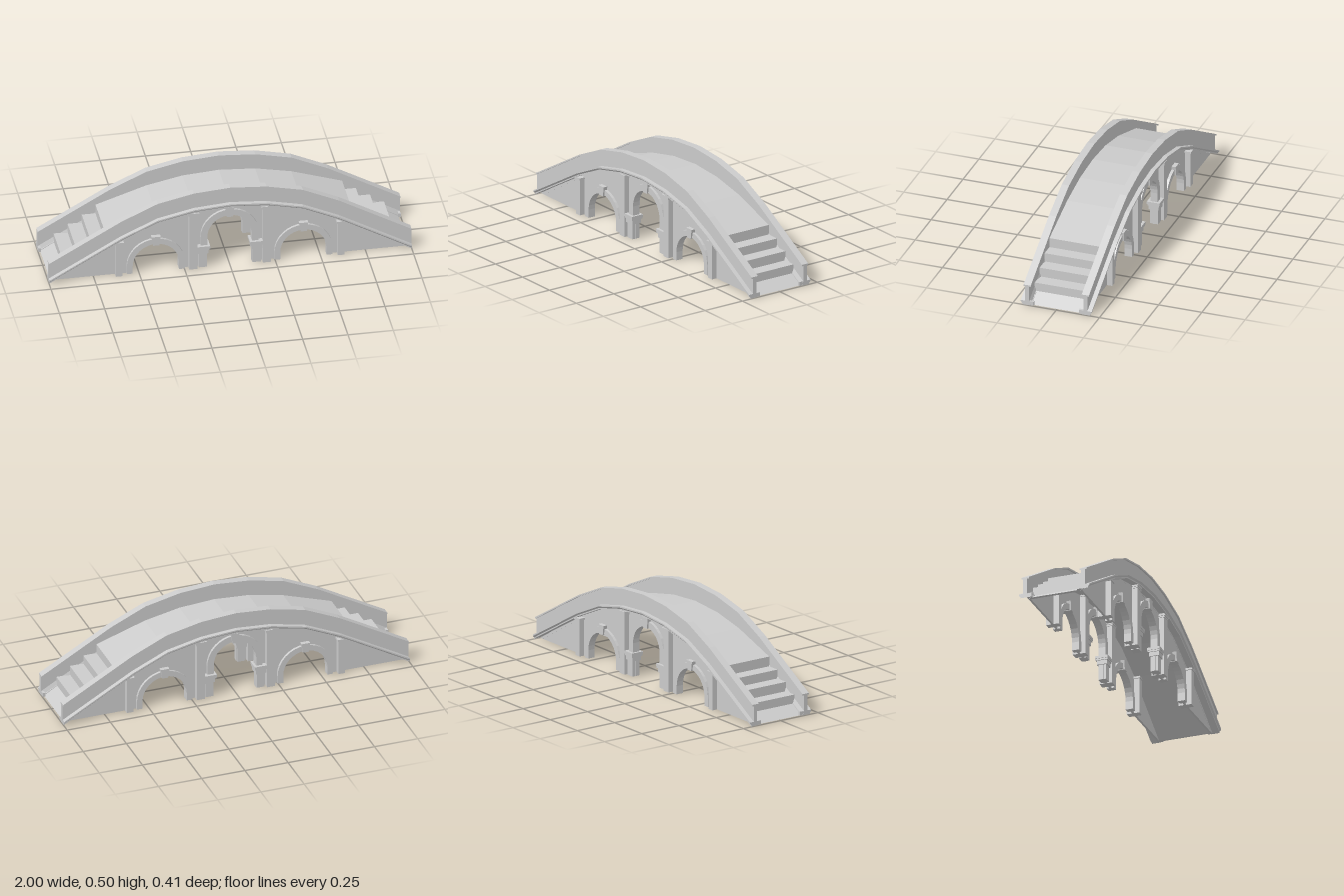
import * as THREE from 'three';

const MID = 0.168; // z of each parapet's centre plane
const WALL = 0.151; // z of each arcade wall's centre plane
const half = [[0, 0.402], [0.2, 0.387], [0.4, 0.343], [0.6, 0.252], [1, 0.026]];
const mirrorX = (pts) => [...pts.slice(1).reverse().map(([x, y]) => [-x, y]), ...pts];
const curve = mirrorX(half); // arched line of the bridge, left to right

const material = new THREE.MeshStandardMaterial({ color: 0xcccccc, flatShading: true });

function add(parent, name, geometry) {
  const mesh = new THREE.Mesh(geometry, material);
  mesh.name = name;
  parent.add(mesh);
  return mesh;
}

// Sweep a convex section [dz, dy] (counter-clockwise) along the arched line
function sweep(section) {
  const n = section.length, pos = [], index = [];
  for (const [x, y] of curve) for (const [dz, dy] of section) pos.push(x, y + dy, dz);
  const last = (curve.length - 1) * n;
  for (let i = 0; i < last; i += n) {
    for (let j = 0; j < n; j++) {
      const k = (j + 1) % n;
      index.push(i + j, i + n + j, i + n + k, i + j, i + n + k, i + k);
    }
  }
  for (let j = 1; j < n - 1; j++) index.push(0, j, j + 1, last, last + j + 1, last + j);
  const g = new THREE.BufferGeometry();
  g.setAttribute('position', new THREE.Float32BufferAttribute(pos, 3));
  g.setIndex(index);
  const flat = g.toNonIndexed();
  flat.computeVertexNormals();
  return flat;
}

// Extrude a shape symmetrically about z = 0
function slab(shape, depth) {
  const g = new THREE.ExtrudeGeometry(shape, { depth, bevelEnabled: false });
  return g.translate(0, 0, -depth / 2);
}

const shapeOf = (pts) => new THREE.Shape(pts.map(([x, y]) => new THREE.Vector2(x, y)));

// Points of an arch outline from left foot to right foot
function archPoints(cx, cy, r, foot) {
  const pts = [[cx - r, foot]];
  for (let i = 0; i <= 16; i++) {
    const a = Math.PI * (1 - i / 16);
    pts.push([cx + r * Math.cos(a), cy + r * Math.sin(a)]);
  }
  pts.push([cx + r, foot]);
  return pts;
}

function block(parent, name, x, y0, y1, width, depth) {
  const mesh = add(parent, name, new THREE.BoxGeometry(width, y1 - y0, depth));
  mesh.position.set(x, (y0 + y1) / 2, 0);
  return mesh;
}

const arches = [
  { x: -0.407, y: 0.047, r: 0.128, R: 0.16, foot: 0 },
  { x: 0, y: 0.19, r: 0.123, R: 0.16, foot: 0.13 },
  { x: 0.407, y: 0.047, r: 0.128, R: 0.16, foot: 0 },
];

// Arcade under the walkway edge
function createArcade() {
  const arcade = new THREE.Group();
  arcade.name = 'arcade';

  // Thin wall with three arched openings
  const outline = [[-0.985, 0]];
  for (const a of arches) outline.push(...archPoints(a.x, a.y, a.r, 0));
  outline.push([0.985, 0]);
  for (const [x, y] of [...curve].reverse()) outline.push([x * (Math.abs(x) === 1 ? 0.985 : 1), y - 0.018]);
  add(arcade, 'spandrelWall', slab(shapeOf(outline), 0.012));

  // Raised arch rings and keystones
  for (const a of arches) {
    const ring = [...archPoints(a.x, a.y, a.R, a.foot), ...archPoints(a.x, a.y, a.r, a.foot).reverse()];
    add(arcade, 'archRing', slab(shapeOf(ring), 0.042));
    const top = a.y + a.R + 0.017, low = a.y + a.r - 0.005;
    const key = [[a.x - 0.017, low], [a.x + 0.017, low], [a.x + 0.025, top], [a.x - 0.025, top]];
    add(arcade, 'keystone', slab(shapeOf(key), 0.06));
  }

  for (const s of [-1, 1]) {
    // Tall pilasters beside the middle arch, short ones outside the side arches
    block(arcade, 'innerPilaster', s * 0.203, 0, 0.365, 0.046, 0.074);
    block(arcade, 'innerPilasterCapital', s * 0.203, 0.338, 0.347, 0.054, 0.08);
    block(arcade, 'innerPilasterCapital', s * 0.203, 0.347, 0.358, 0.062, 0.088);
    block(arcade, 'outerPilaster', s * 0.612, 0, 0.215, 0.038, 0.074);
    block(arcade, 'outerPilasterCapital', s * 0.612, 0.205, 0.216, 0.05, 0.086);

    // Piers and stepped imposts carrying the middle arch
    block(arcade, 'pier', s * 0.148, 0, 0.09, 0.046, 0.046);
    block(arcade, 'impost', s * 0.148, 0.088, 0.112, 0.06, 0.058);
    block(arcade, 'impost', s * 0.148, 0.112, 0.122, 0.07, 0.068);
    block(arcade, 'impost', s * 0.148, 0.122, 0.137, 0.076, 0.074);
  }
  return arcade;
}

// One side of the bridge, outer face towards +z
function createSide() {
  const side = new THREE.Group();
  const arcade = createArcade();
  arcade.position.z = WALL - MID;
  side.add(arcade);

  // Inner return of the cornice at the foot of the steps
  for (const s of [-1, 1]) {
    block(side, 'corniceReturn', s * 0.992, 0.003, 0.026, 0.014, 0.026).position.z = -0.024;
  }

  // Cornice, parapet and handrail follow the arched line
  add(side, 'cornice', sweep([
    [-0.02, -0.024], [0.028, -0.024], [0.028, -0.017], [0.037, -0.008], [0.037, 0], [-0.011, 0],
  ]));
  add(side, 'parapet', sweep([[-0.011, -0.002], [0.012, -0.002], [0.012, 0.088], [-0.011, 0.088]]));
  add(side, 'handrail', sweep([[-0.021, 0.088], [0.021, 0.088], [0.021, 0.097], [-0.021, 0.097]]));
  return side;
}

export function createModel() {
  const bridge = new THREE.Group();
  bridge.name = 'archedFootbridge';

  // The two matching sides
  for (const s of [1, -1]) {
    const side = createSide();
    side.name = s > 0 ? 'frontSide' : 'backSide';
    side.position.z = s * MID;
    side.rotation.y = s > 0 ? 0 : Math.PI;
    bridge.add(side);
  }

  // Walkway slab with four steps and a sloping toe at both ends
  const top = [[0, 0.401], [0.2, 0.388], [0.4, 0.347]];
  const stepX = [0.68, 0.756, 0.834, 0.911];
  const stepY = [0.255, 0.2, 0.15, 0.097, 0.048];
  stepX.forEach((x, i) => top.push([x, stepY[i]], [x, stepY[i + 1]]));
  top.push([0.988, 0.002]);
  const under = half.slice(0, 4).map(([x, y]) => [x, y - 0.032]);
  under.push([0.972, 0]);
  const outline = [...mirrorX(top).reverse(), ...mirrorX(under)];
  add(bridge, 'walkwayWithSteps', slab(shapeOf(outline), 0.316));

  return bridge;
}
